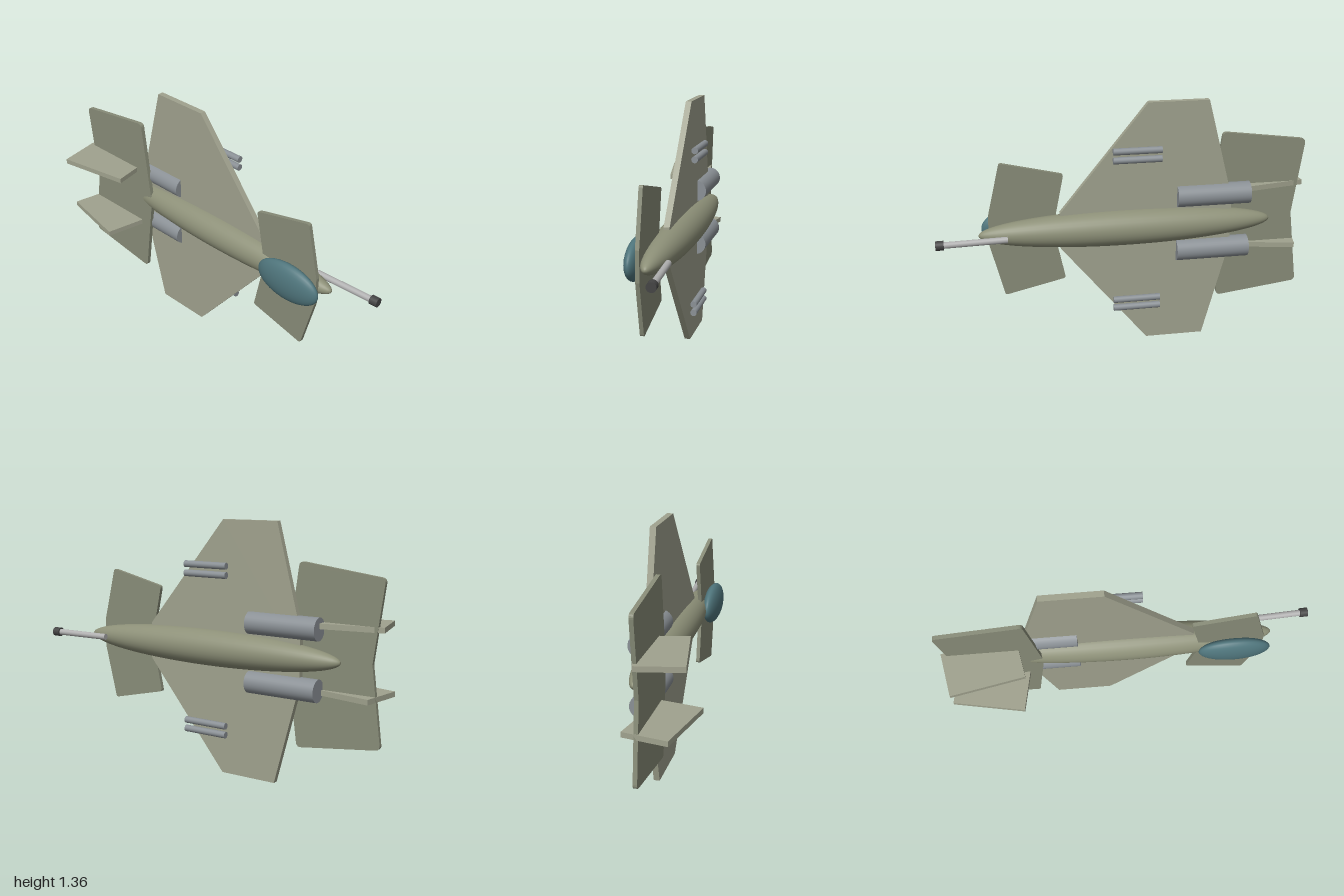
import * as THREE from 'three';

const MID = 0.683; // height of the fuselage axis

const paint = (color) => new THREE.MeshStandardMaterial({ color });
const bodyPaint = paint(0x8d9078);
const wingPaint = paint(0xa0a28e);
const tailPaint = paint(0x888c78);
const enginePaint = paint(0x8a9095);
const barrelPaint = paint(0xb0b0b0);
const muzzlePaint = paint(0x444444);
const glassPaint = paint(0x4f757c);

export function createModel() {
  const model = new THREE.Group();
  model.name = 'aircraft';

  function add(name, geometry, material, x, y, z) {
    const mesh = new THREE.Mesh(geometry, material);
    mesh.name = name;
    mesh.position.set(x, y, z);
    model.add(mesh);
    return mesh;
  }

  // Cylinder lying along the x axis
  const rod = (radius, length, sides = 24) =>
    new THREE.CylinderGeometry(radius, radius, length, sides).rotateZ(-Math.PI / 2);

  // Flat slab mirrored about the fuselage axis; half holds [x, offset, cornerRadius]
  function slab(name, half, z0, z1, material) {
    const lower = half.filter((p) => p[1] > 0).reverse().map(([x, y, r]) => [x, -y, r]);
    const pts = [...half, ...lower].map(([x, y, r = 0]) => ({ v: new THREE.Vector2(x, y), r }));
    const shape = new THREE.Shape();
    pts.forEach(({ v, r }, i) => {
      const prev = pts[(i + pts.length - 1) % pts.length].v;
      const next = pts[(i + 1) % pts.length].v;
      const a = v.clone().add(prev.clone().sub(v).setLength(r));
      const b = v.clone().add(next.clone().sub(v).setLength(r));
      if (i === 0) shape.moveTo(a.x, a.y);
      else shape.lineTo(a.x, a.y);
      if (r > 0) shape.quadraticCurveTo(v.x, v.y, b.x, b.y);
    });
    shape.closePath();
    const geometry = new THREE.ExtrudeGeometry(shape, { depth: z1 - z0, bevelEnabled: false, curveSegments: 5 });
    add(name, geometry, material, 0, MID, z0);
  }

  // Fuselage and canopy
  const fuselage = new THREE.SphereGeometry(1, 32, 32).rotateZ(-Math.PI / 2).scale(0.79, 0.099, 0.099);
  add('fuselage', fuselage, bodyPaint, -0.01, MID, -0.09);
  const canopy = new THREE.SphereGeometry(1, 32, 24).rotateZ(-Math.PI / 2).scale(0.195, 0.11, 0.048);
  add('canopy', canopy, glassPaint, 0.568, MID, 0);

  // Main wing, tailplane and foreplane
  slab('mainWing', [[-0.58, 0], [-0.58, 0.14], [-0.44, 0.682], [-0.12, 0.682], [0.35, 0.1], [0.35, 0]],
    -0.1, -0.068, wingPaint);
  slab('tailplane', [[-0.945, 0], [-1, 0.424, 0.025], [-0.538, 0.484, 0.025], [-0.476, 0.02], [-0.476, 0]],
    -0.04, -0.018, tailPaint);
  slab('foreplane', [[0.38, 0], [0.365, 0.09], [0.322, 0.3, 0.014], [0.653, 0.378, 0.014], [0.725, 0.08], [0.725, 0]],
    -0.05, -0.029, tailPaint);

  for (const side of [1, -1]) {
    const label = side > 0 ? 'upper' : 'lower';

    // Tail fins, each canted the opposite way
    const fin = add(`${label}TailFin`, new THREE.BoxGeometry(0.4, 0.028, 0.24), wingPaint,
      -0.78, MID + side * 0.173, 0.05);
    fin.rotation.y = side * 0.187;

    // Engine
    add(`${label}Engine`, rod(0.06, 0.4, 32), enginePaint, -0.48, MID + side * 0.157, -0.09);

    // Paired wing guns
    for (const offset of [0.4, 0.448]) {
      add(`${label}WingGun`, rod(0.018, 0.255, 16), enginePaint, -0.053, MID + side * offset, -0.163);
    }
  }

  // Nose cannon, slightly tilted away from the fuselage
  const barrel = add('cannonBarrel', rod(0.017, 0.34), barrelPaint, 0.8, MID, -0.174);
  const muzzle = add('cannonMuzzle', rod(0.025, 0.043), muzzlePaint, 0.978, MID, -0.183);
  barrel.rotation.y = muzzle.rotation.y = 0.05;

  return model;
}
